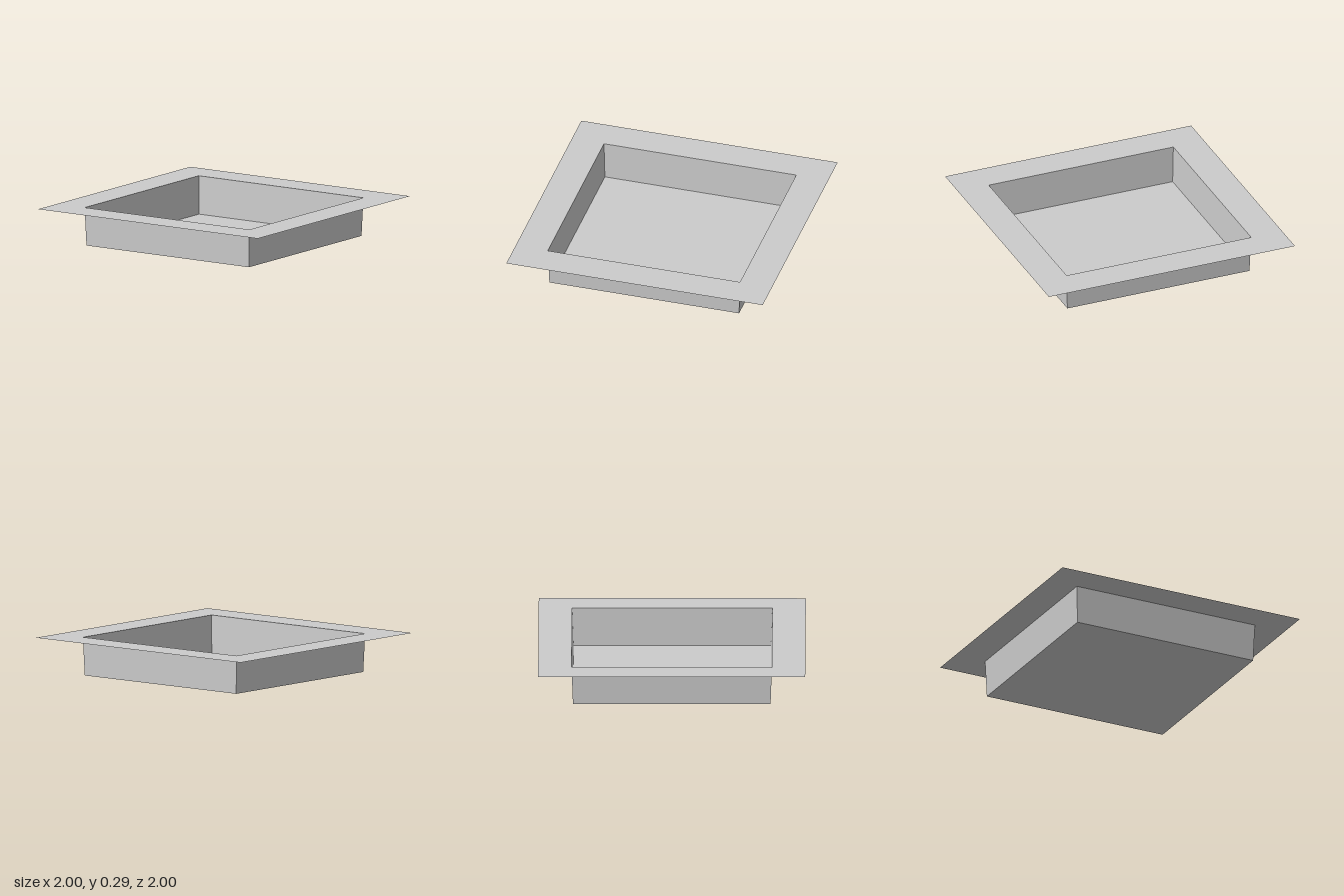
import * as THREE from 'three';

const HEIGHT = 0.29;  // floor to rim
const RIM = 1;        // half widths
const MOUTH = 0.75;
const FLOOR = 0.74;

const square = (Path, h) =>
  new Path([[-h, -h], [h, -h], [h, h], [-h, h]].map(([x, y]) => new THREE.Vector2(x, y)));

export function createModel() {
  const tray = new THREE.Group();
  tray.name = 'tray';
  const material = new THREE.MeshStandardMaterial({
    color: 0xcccccc, flatShading: true, side: THREE.DoubleSide,
  });
  const add = (name, geometry) => {
    const mesh = new THREE.Mesh(geometry, material);
    mesh.name = name;
    tray.add(mesh);
  };

  // Flat square flange around the mouth
  const rimShape = square(THREE.Shape, RIM);
  rimShape.holes.push(square(THREE.Path, MOUTH));
  add('rim', new THREE.ShapeGeometry(rimShape).rotateX(-Math.PI / 2).translate(0, HEIGHT, 0));

  // Four thin walls, tapering slightly towards the floor
  add('walls', new THREE.CylinderGeometry(
    MOUTH * Math.SQRT2, FLOOR * Math.SQRT2, HEIGHT, 4, 1, true, Math.PI / 4,
  ).translate(0, HEIGHT / 2, 0));

  // Thin floor
  add('floor', new THREE.PlaneGeometry(2 * FLOOR, 2 * FLOOR).rotateX(-Math.PI / 2));

  return tray;
}
